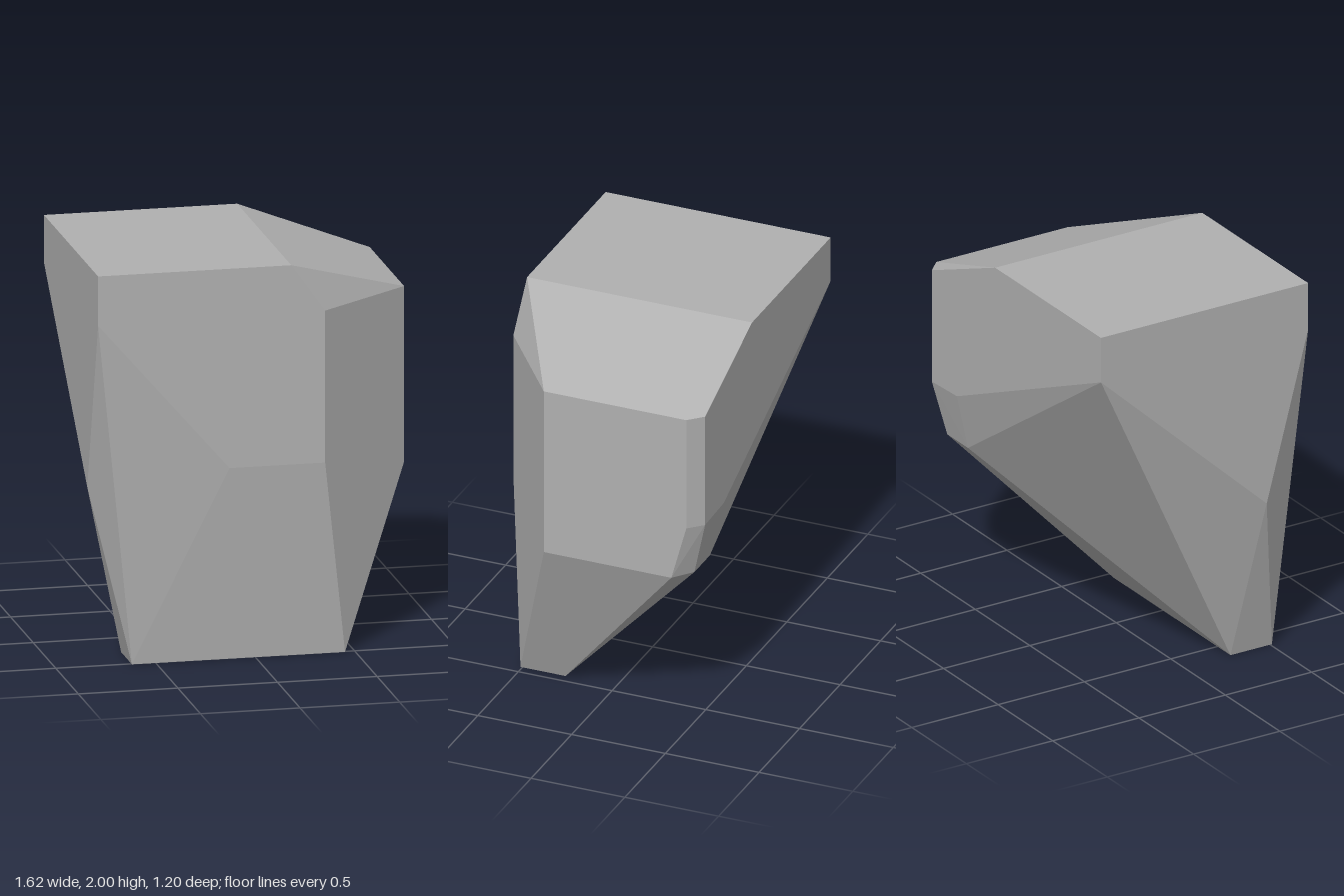
import * as THREE from 'three';
import { ConvexGeometry } from 'three/addons/geometries/ConvexGeometry.js';

// Faceted boulder: the convex hull of its corners, listed ring by ring.
const corners = [
  // flat top
  [-0.81, 2, 0.6], [0.16, 2, 0.6], [0.16, 2, -0.6], [-0.81, 2, -0.6],
  // shoulder below the sloped top
  [-0.81, 1.75, 0.6], [0.33, 1.76, 0.6], [0.81, 1.76, 0.23],
  [0.81, 1.76, -0.53], [0.74, 1.76, -0.6], [-0.81, 1.76, -0.6],
  // back ledge with the chamfered corner
  [0.81, 1.16, -0.53], [0.74, 1.16, -0.6], [0.51, 1.17, -0.6],
  // waist, where the sides begin to taper
  [-0.15, 0.99, 0.6], [0.33, 0.99, 0.6], [0.81, 0.87, 0.23],
  [0.81, 0.87, -0.45], [0.71, 0.87, -0.53], [0.52, 0.87, -0.53],
  [-0.81, 0.87, 0.36],
  // narrow foot
  [-0.62, 0, 0.51], [0.45, 0, 0.51], [0.45, 0, 0.27], [-0.62, 0, 0.27],
];

export function createModel() {
  const stone = new THREE.MeshStandardMaterial({ color: 0xb0b0b0 });
  stone.name = 'stone grey';
  stone.flatShading = true;

  const geometry = new ConvexGeometry(corners.map((c) => new THREE.Vector3(...c)));
  const rock = new THREE.Mesh(geometry, stone);
  rock.name = 'rock';

  const group = new THREE.Group();
  group.name = 'boulder';
  group.add(rock);
  return group;
}
